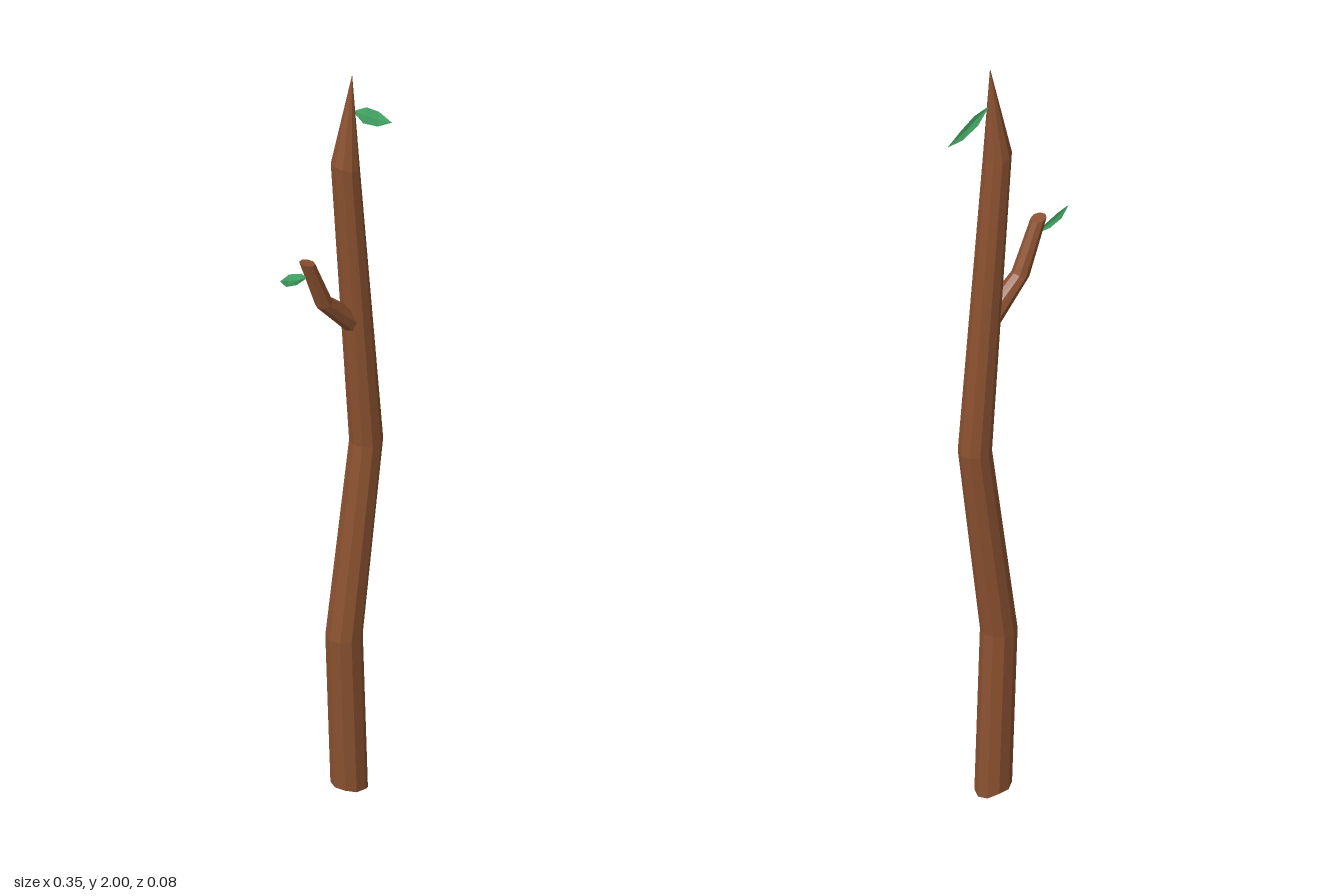
import * as THREE from 'three';

const bark = new THREE.MeshStandardMaterial({ color: 0x8b5130, flatShading: true });
const green = new THREE.MeshStandardMaterial({ color: 0x57d080, flatShading: true, side: THREE.DoubleSide });

function mesh(name, positions, index, material) {
  const geometry = new THREE.BufferGeometry();
  geometry.setAttribute('position', new THREE.Float32BufferAttribute(positions, 3));
  geometry.setIndex(index);
  geometry.computeVertexNormals();
  const m = new THREE.Mesh(geometry, material);
  m.name = name;
  return m;
}

// Closed limb through rings { x, y, rx, tilt, rz }; tilt raises the +x side.
// bend(cos, sin) adds an uneven height to the first ring.
function limb(name, rings, sides, bend = () => 0) {
  const pos = [], index = [];
  rings.forEach((r, k) => {
    for (let i = 0; i < sides; i++) {
      const a = (i / sides) * Math.PI * 2, c = Math.cos(a), s = Math.sin(a);
      pos.push(r.x + r.rx * c, r.y + r.tilt * c + (k === 0 ? bend(c, s) : 0), r.rz * s);
    }
  });
  const last = rings.length - 1, bottom = rings.length * sides, top = bottom + 1;
  for (const r of [rings[0], rings[last]]) pos.push(r.x, r.y, 0);
  for (let i = 0; i < sides; i++) {
    const j = (i + 1) % sides;
    for (let k = 0; k < last; k++) {
      const lo = k * sides, hi = lo + sides;
      index.push(lo + i, hi + i, lo + j, lo + j, hi + i, hi + j);
    }
    index.push(bottom, i, j, top, last * sides + j, last * sides + i);
  }
  return mesh(name, pos, index, bark);
}

// Slightly folded leaf: outline runs stem, upper edge, tip, lower edge.
function leaf(name, [stem, u1, u2, tip, l1, l2]) {
  const at = (p, z) => [p[0], p[1], z];
  const mid = (a, b, t) => [a[0] + (b[0] - a[0]) * t, a[1] + (b[1] - a[1]) * t];
  const pos = [
    at(stem, 0), at(u1, -0.002), at(u2, 0), at(tip, 0.01), at(l1, 0.007), at(l2, 0.004),
    at(mid(u1, l2, 0.5), 0.004), at(mid(u2, l1, 0.5), 0.006),
  ].flat();
  return mesh(name, pos, [0, 6, 1, 1, 6, 2, 2, 6, 7, 2, 7, 3, 0, 5, 6, 5, 4, 6, 6, 4, 7, 7, 4, 3], green);
}

const ring = (x, y, rx, tilt = 0, rz = rx) => ({ x, y, rx, tilt, rz });

export function createModel() {
  const group = new THREE.Group();
  group.name = 'stick';

  // Crooked trunk with a broken lower end and an off-centre sharpened point
  group.add(limb('trunk', [
    ring(0.047, 0.02, 0.044),
    ring(0.031, 0.445, 0.044),
    ring(0.1, 0.963, 0.04),
    ring(0.035, 1.757, 0.033, -0.01, 0.036),
    ring(0.056, 2, 0.0005),
  ], 10, (c) => (c > 0.2 ? -0.025 * (c - 0.2) : c < -0.6 ? 0.006 : 0)));

  // Side branch
  group.add(limb('branch', [
    ring(0.06, 1.31, 0.02, 0.02, 0.028),
    ring(-0.032, 1.403, 0.02, 0.007, 0.022),
    ring(-0.084, 1.537, 0.019, -0.004, 0.019),
  ], 8));

  // Leaves
  group.add(leaf('upperLeaf', [
    [0.058, 1.9], [0.103, 1.89], [0.14, 1.862], [0.172, 1.822], [0.13, 1.828], [0.087, 1.855],
  ]));
  group.add(leaf('branchLeaf', [
    [-0.085, 1.495], [-0.1, 1.513], [-0.14, 1.53], [-0.178, 1.532], [-0.156, 1.505], [-0.12, 1.493],
  ]));
  return group;
}
